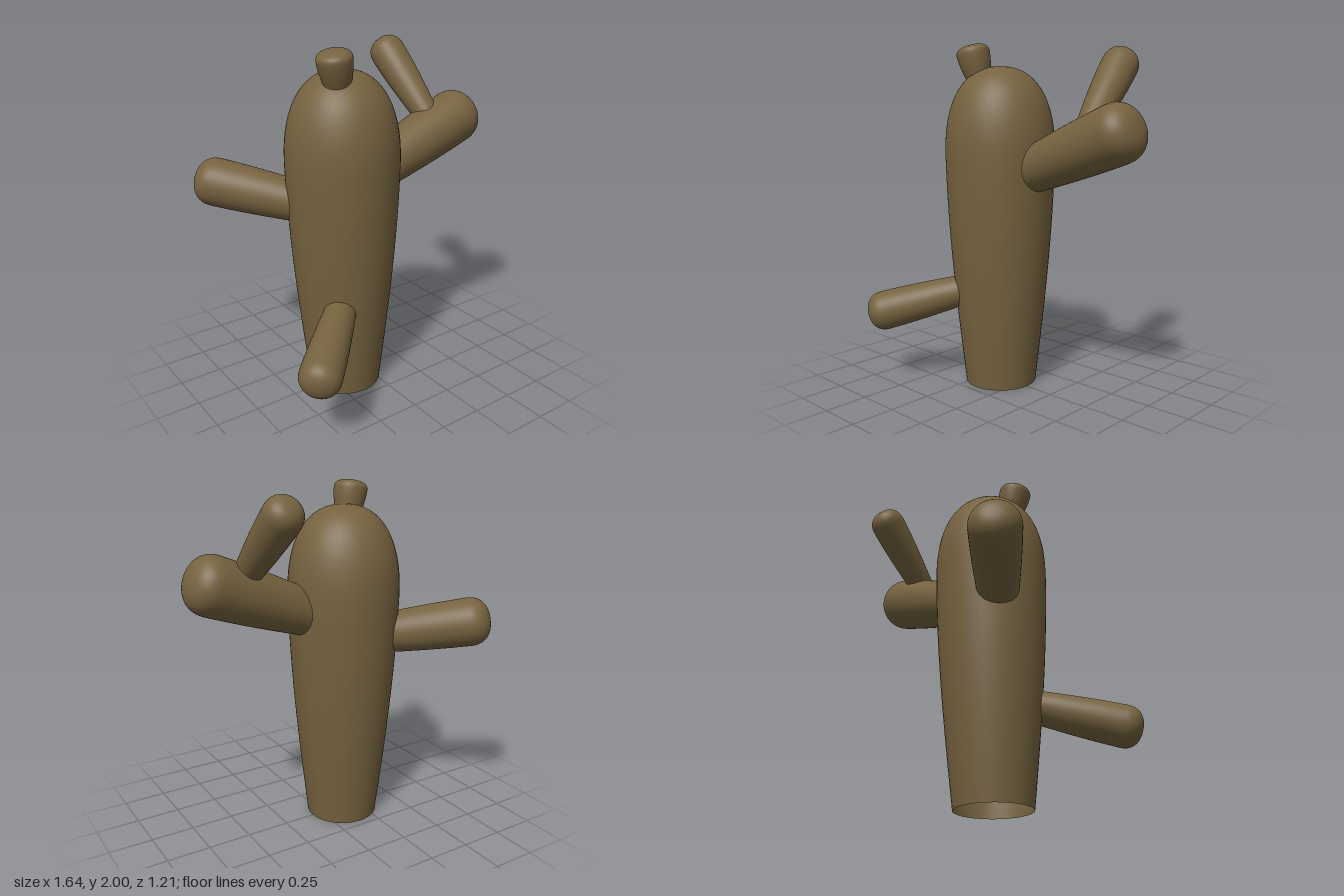
import * as THREE from 'three';

const bark = new THREE.MeshStandardMaterial({ color: 0x75623f, side: THREE.DoubleSide });
bark.name = 'bark brown';

// Open-ended round log that widens from r0 to r1 and closes with a soft dome at the far end
function log(name, from, to, r0, r1, capHeight, power = 2.3, bulge = 0.75) {
  const start = new THREE.Vector3(...from);
  const axis = new THREE.Vector3(...to).sub(start);
  const length = axis.length();
  const side = length - capHeight;
  const profile = [];
  for (let i = 0; i < 12; i++) {
    const t = i / 12;
    const swell = (1 - bulge) * t + bulge * Math.sin(t * Math.PI / 2);
    profile.push(new THREE.Vector2(r0 + (r1 - r0) * swell, side * t));
  }
  for (let i = 0; i <= 16; i++) {
    const a = (i / 16) * Math.PI / 2;
    profile.push(new THREE.Vector2(
      i === 16 ? 0 : r1 * Math.pow(Math.cos(a), 2 / power),
      side + capHeight * Math.pow(Math.sin(a), 2 / power)
    ));
  }
  const mesh = new THREE.Mesh(new THREE.LatheGeometry(profile, 48), bark);
  mesh.name = name;
  mesh.position.copy(start);
  mesh.quaternion.setFromUnitVectors(new THREE.Vector3(0, 1, 0), axis.normalize());
  return mesh;
}

export function createModel() {
  const model = new THREE.Group();
  model.name = 'treeStump';

  model.add(
    // Trunk, open at the bottom
    log('trunk', [-0.145, 0, 0], [-0.145, 1.87, 0], 0.21, 0.32, 0.5, 2.35),
    // Large left branch and the twig growing from it
    log('leftBranch', [0.05, 1.265, 0], [0.8, 1.55, -0.015], 0.125, 0.162, 0.14),
    log('leftTwig', [0.485, 1.51, 0], [0.43, 1.935, -0.42], 0.068, 0.105, 0.1),
    // Two shorter branches on the right
    log('backBranch', [-0.25, 1.11, -0.04], [-0.77, 1.25, -0.55], 0.105, 0.137, 0.12),
    log('frontBranch', [-0.25, 0.575, 0.14], [-0.7, 0.41, 0.56], 0.085, 0.115, 0.1),
    // Small stub on the crown
    log('topStub', [-0.228, 1.8, 0.088], [-0.268, 1.988, 0.11], 0.07, 0.096, 0.05, 2.6)
  );
  return model;
}
